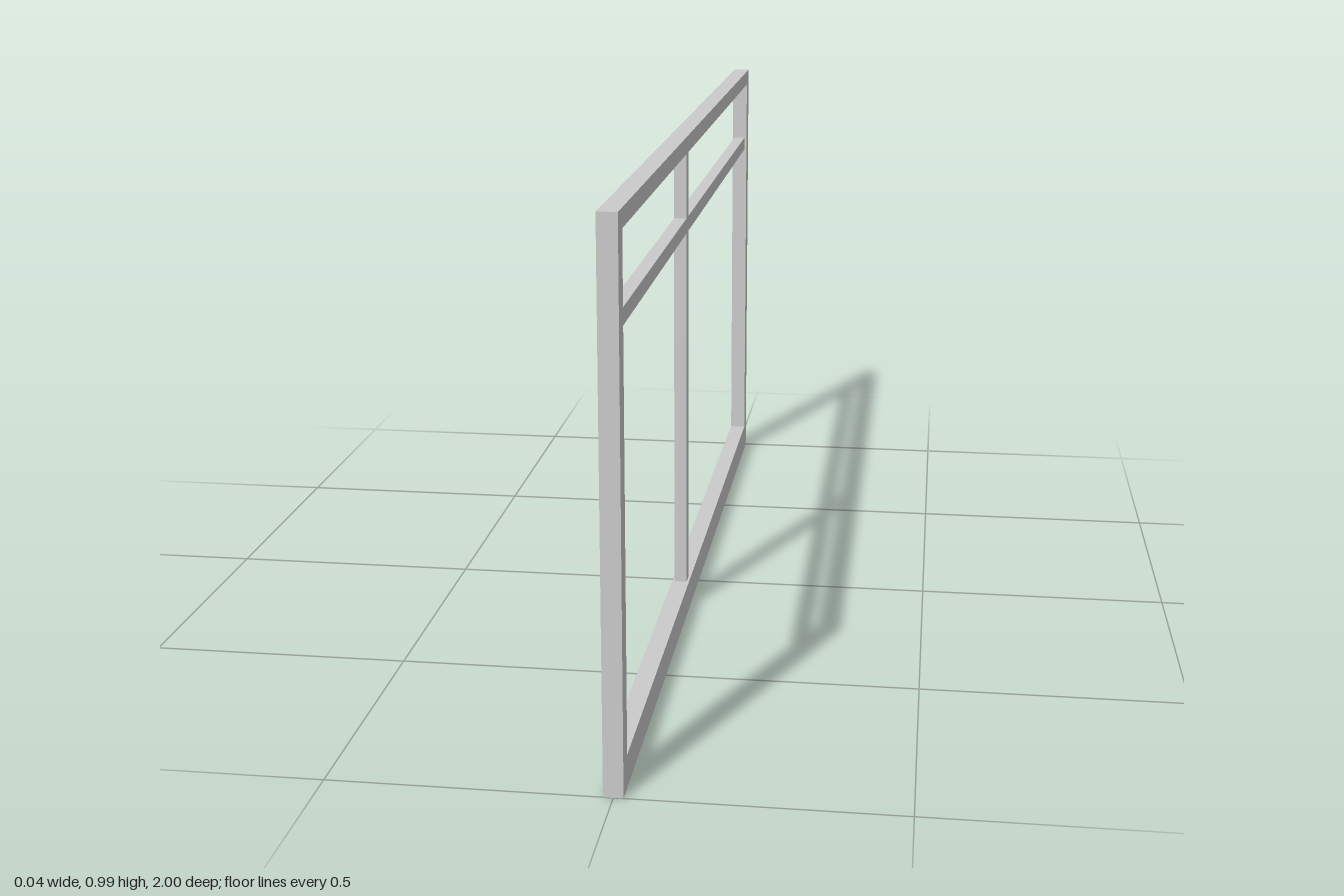
import * as THREE from 'three';

const HEIGHT = 0.993, DEPTH = 0.035, BAR_DEPTH = 0.025;
const INNER = { z: 0.96, bottom: 0.06, top: 0.96 };

export function createModel() {
  const group = new THREE.Group();
  const material = new THREE.MeshStandardMaterial({ color: 0xcccccc });
  const add = (name, geometry) => {
    const mesh = new THREE.Mesh(geometry, material);
    mesh.name = name;
    group.add(mesh);
    return mesh;
  };

  // Outer frame: a rectangle with one opening, extruded through its depth
  const outline = new THREE.Shape([
    new THREE.Vector2(-1, 0), new THREE.Vector2(1, 0),
    new THREE.Vector2(1, HEIGHT), new THREE.Vector2(-1, HEIGHT),
  ]);
  outline.holes.push(new THREE.Path([
    new THREE.Vector2(-INNER.z, INNER.bottom), new THREE.Vector2(-INNER.z, INNER.top),
    new THREE.Vector2(INNER.z, INNER.top), new THREE.Vector2(INNER.z, INNER.bottom),
  ]));
  const frame = new THREE.ExtrudeGeometry(outline, { depth: DEPTH, bevelEnabled: false });
  frame.translate(0, 0, -DEPTH / 2).rotateY(Math.PI / 2);
  add('outerFrame', frame);

  // Upright between the two main panes, running the full opening height
  const postZ = 0.145, postWidth = 0.034;
  add('mullion', new THREE.BoxGeometry(BAR_DEPTH, INNER.top - INNER.bottom, postWidth))
    .position.set(0, (INNER.top + INNER.bottom) / 2, postZ);

  // Horizontal bar below the upper lights, in two lengths either side of the upright
  const spans = [
    ['transomFront', postZ + postWidth / 2, INNER.z],
    ['transomBack', -INNER.z, postZ - postWidth / 2],
  ];
  for (const [name, from, to] of spans) {
    add(name, new THREE.BoxGeometry(BAR_DEPTH, 0.03, to - from))
      .position.set(0, 0.811, (from + to) / 2);
  }
  return group;
}
